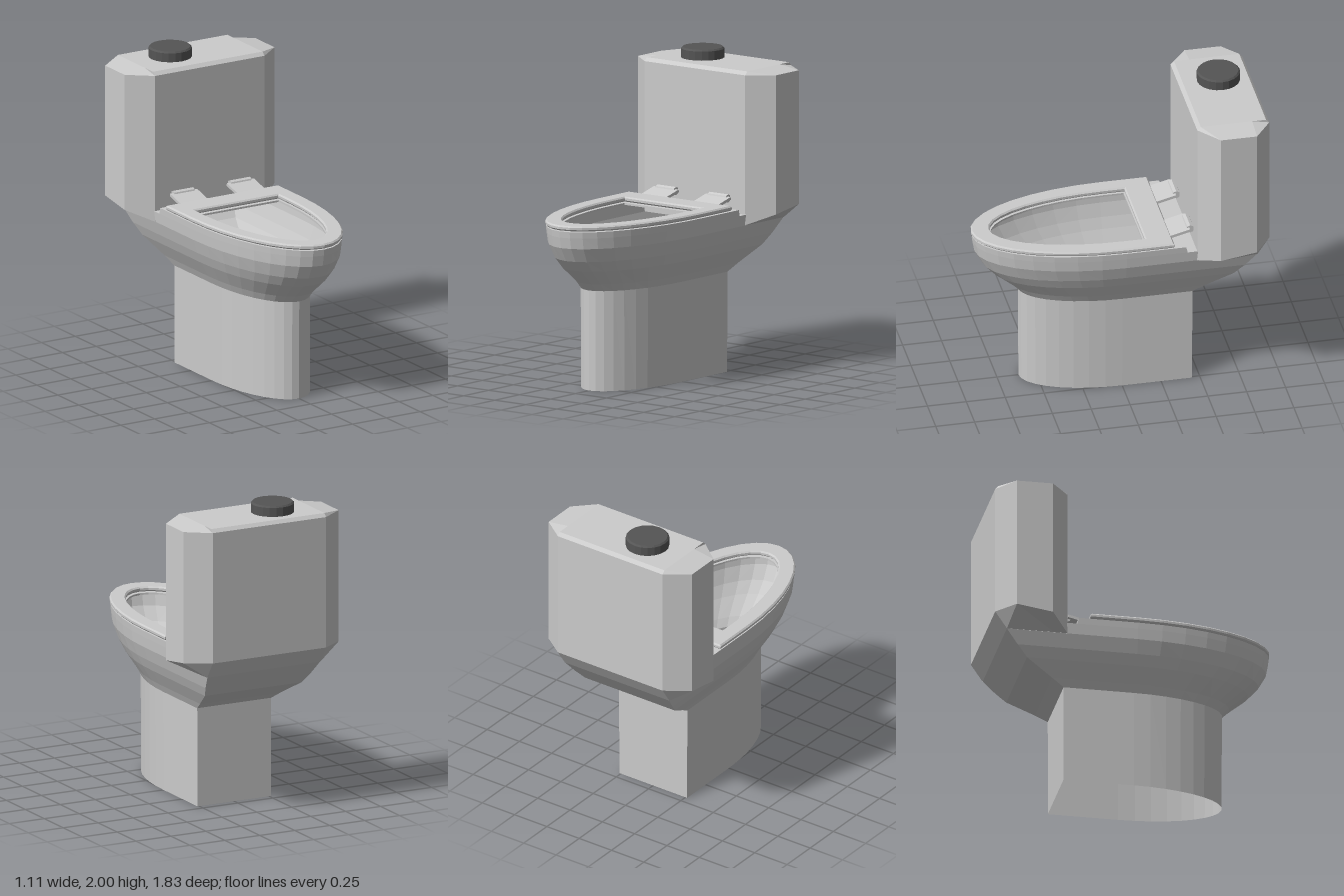
import * as THREE from 'three';

const grey = new THREE.MeshStandardMaterial({ color: 0xcccccc, flatShading: true, side: THREE.DoubleSide });
const dark = new THREE.MeshStandardMaterial({ color: 0x555555, flatShading: true });

function add(parent, name, geometry, material = grey) {
  const mesh = new THREE.Mesh(geometry, material);
  mesh.name = name;
  parent.add(mesh);
  return mesh;
}

// Skin between closed rings of [x, y, z], listed from bottom to top
function loft(rings) {
  const pos = [];
  for (let i = 0; i < rings.length - 1; i++) {
    const lo = rings[i], hi = rings[i + 1], n = lo.length;
    for (let j = 0; j < n; j++) {
      const k = (j + 1) % n;
      pos.push(...lo[j], ...hi[j], ...hi[k], ...lo[j], ...hi[k], ...lo[k]);
    }
  }
  const g = new THREE.BufferGeometry();
  g.setAttribute('position', new THREE.Float32BufferAttribute(pos, 3));
  g.computeVertexNormals();
  return g;
}

// Plan outline: square back, straight sides, half-ellipse front, as [x, z]
function outline(w, front, back, n = 18) {
  const pts = [[w, back]];
  for (let i = 0; i <= n; i++) {
    const a = (i / n) * Math.PI;
    pts.push([w * Math.cos(a), front * Math.sin(a)]);
  }
  pts.push([-w, back]);
  return pts;
}

// Flat horizontal ring with a matching hole, its top at the given height
function slab(outer, inner, top, height, bevel) {
  const toVec = (p) => new THREE.Vector2(p[0], p[1]);
  const shape = new THREE.Shape(outline(...outer).map(toVec));
  shape.holes.push(new THREE.Path(outline(...inner).map(toVec)));
  const g = new THREE.ExtrudeGeometry(shape, {
    depth: height - 2 * bevel, bevelEnabled: bevel > 0,
    bevelThickness: bevel, bevelSize: bevel, bevelOffset: -bevel, bevelSegments: 1,
  });
  g.rotateX(Math.PI / 2);
  g.translate(0, top - bevel, 0);
  return g;
}

export function createModel() {
  const model = new THREE.Group();
  model.name = 'toilet';

  // Pedestal and bowl, one open shell: height, half width, front z, back z
  const levels = [
    [0, 0.262, 0.612, -0.45],
    [0.64, 0.264, 0.615, -0.45],
    [0.69, 0.288, 0.66, -0.53],
    [0.79, 0.345, 0.78, -0.70],
    [0.86, 0.375, 0.845, -0.765],
    [0.95, 0.403, 0.895, -0.84],
    [0.95, 0.403, 0.895, -0.455],
    [1.02, 0.41, 0.908, -0.455],
    [1.02, 0.41, 0.908, -0.39],
    [1.06, 0.413, 0.913, -0.38],
  ];
  add(model, 'bowl', loft(levels.map(([y, w, f, b]) => outline(w, f, b).map(([x, z]) => [x, y, z]))));

  // Rim and seat ring
  add(model, 'rim', slab([0.411, 0.911, -0.38], [0.31, 0.79, -0.13], 1.06, 0.012, 0));
  add(model, 'seat', slab([0.417, 0.917, -0.305], [0.31, 0.795, -0.135], 1.098, 0.032, 0.009));

  // Seat hinges
  for (const side of [-1, 1]) {
    const hinge = new THREE.Group();
    hinge.name = side > 0 ? 'leftHinge' : 'rightHinge';
    const arm = add(hinge, 'hingeArm', new THREE.BoxGeometry(0.2, 0.018, 0.14));
    arm.position.set(side * 0.21, 1.1, -0.36);
    arm.rotation.x = 0.25;
    const knuckle = add(hinge, 'hingeKnuckle', new THREE.CylinderGeometry(0.026, 0.026, 0.15, 8));
    knuckle.rotation.set(0, 0, Math.PI / 2);
    knuckle.position.set(side * 0.21, 1.113, -0.432);
    model.add(hinge);
  }

  // Tank with chamfered corners, tapered foot and slightly raised lid
  const mirror = (half) => [...half, ...half.map(([x, y, z]) => [-x, y, z]).reverse()];
  const foot = mirror([[0.405, 0.95, -0.84], [0.405, 0.95, -0.84], [0.405, 0.95, -0.54], [0.405, 0.95, -0.452]]);
  const base = mirror([[0.405, 1.06, -0.915], [0.555, 1.055, -0.805], [0.555, 1.02, -0.573], [0.405, 0.952, -0.452]]);
  const top = mirror([[0.405, 1.91, -0.915], [0.555, 1.91, -0.805], [0.555, 1.91, -0.573], [0.405, 1.91, -0.452]]);
  const lid = mirror([[0.405, 1.932, -0.895], [0.405, 1.932, -0.805], [0.405, 1.932, -0.573], [0.405, 1.932, -0.475]]);
  const middle = lid.map(() => [0, 1.932, -0.69]);
  add(model, 'tank', loft([foot, base, top, lid, middle]));

  // Flush button
  const profile = [[0, 0], [0.137, 0], [0.137, 0.06], [0.127, 0.07], [0, 0.07]];
  const button = add(model, 'flushButton',
    new THREE.LatheGeometry(profile.map(([r, y]) => new THREE.Vector2(r, y)), 20), dark);
  button.position.set(-0.137, 1.93, -0.703);

  return model;
}
